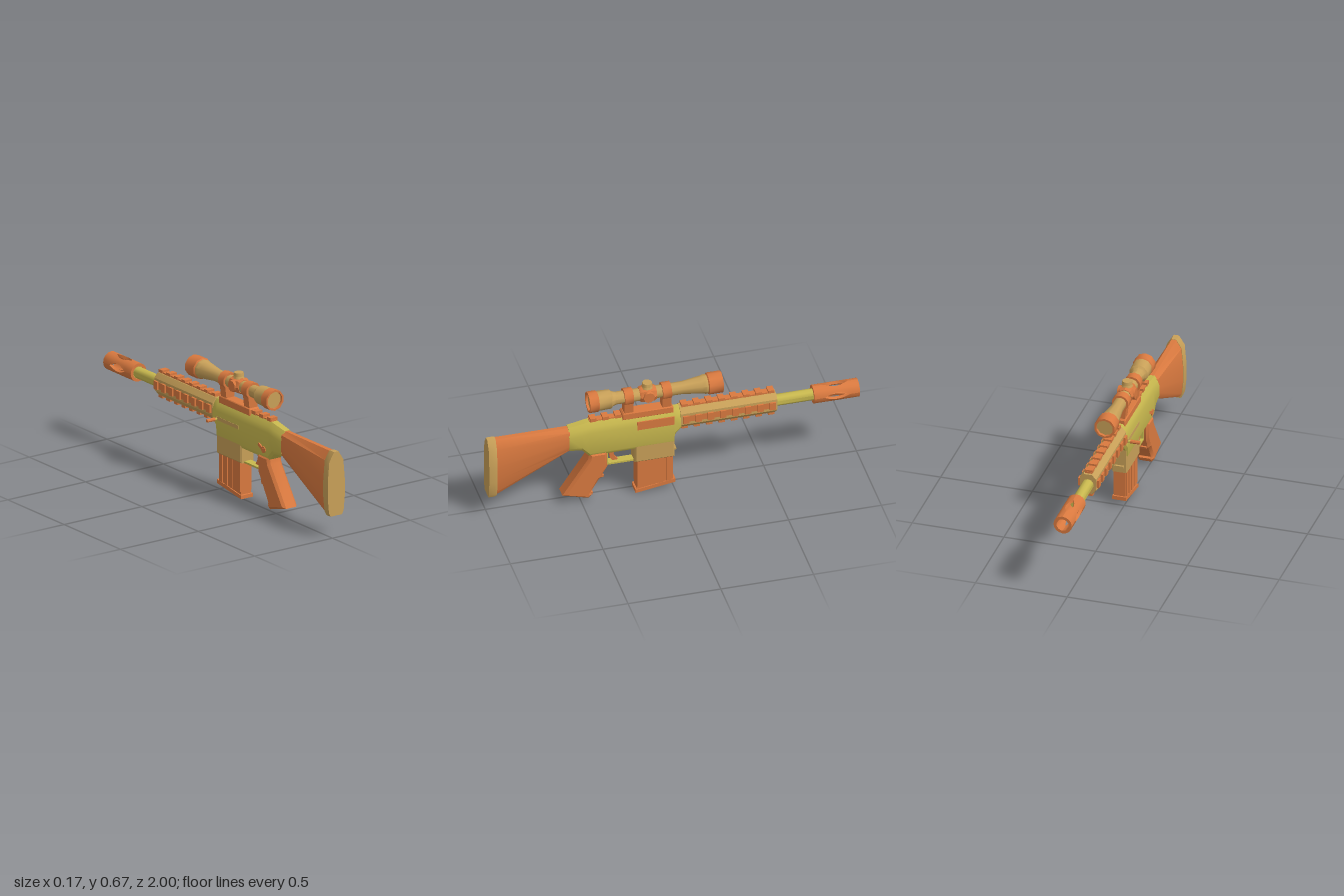
import * as THREE from 'three';
import { toCreasedNormals } from 'three/addons/utils/BufferGeometryUtils.js';

const mat = c => new THREE.MeshStandardMaterial({ color: c, side: THREE.DoubleSide });
const orange = mat(0xd9793f), tan = mat(0xc8a058), yellow = mat(0xc8b84e);
const V2 = a => new THREE.Vector2(a[0], a[1]);

export function createModel() {
  const root = new THREE.Group();
  root.name = 'scopedRifle';
  root.position.x = 0.025;

  const add = (name, geo, material, x = 0, y = 0, z = 0, parent = root) => {
    const m = new THREE.Mesh(toCreasedNormals(geo, 0.65), material);
    m.name = name;
    m.position.set(x, y, z);
    parent.add(m);
    return m;
  };
  const box = (name, material, w, h, d, x, y, z, parent) =>
    add(name, new THREE.BoxGeometry(w, h, d), material, x, y, z, parent);

  // Side outline [z, y] given a thickness along x, with bevelled edges
  const slab = (pts, half, bevel = 0) => new THREE.ExtrudeGeometry(new THREE.Shape(pts.map(V2)), {
    depth: 2 * (half - bevel), bevelEnabled: bevel > 0, bevelThickness: bevel,
    bevelSize: bevel, bevelOffset: -bevel, bevelSegments: 1,
  }).translate(0, 0, -(half - bevel)).rotateY(-Math.PI / 2);

  // Turned part along z, profile [radius, z] from low to high z
  const turned = (pts, sides = 10) => new THREE.LatheGeometry(pts.map(V2), sides).rotateX(Math.PI / 2);

  // Skin over counter-clockwise [x, y] sections, ordered by rising z
  const loft = sections => {
    const pos = [], n = sections[0].pts.length;
    const put = (s, i) => pos.push(s.pts[i % n][0], s.pts[i % n][1], s.z);
    for (let k = 0; k + 1 < sections.length; k++) {
      const a = sections[k], b = sections[k + 1];
      for (let i = 0; i < n; i++) {
        put(a, i); put(a, i + 1); put(b, i + 1);
        put(a, i); put(b, i + 1); put(b, i);
      }
    }
    const first = sections[0], last = sections[sections.length - 1];
    for (const [i, j, k] of THREE.ShapeUtils.triangulateShape(first.pts.map(V2), [])) { put(first, k); put(first, j); put(first, i); }
    for (const [i, j, k] of THREE.ShapeUtils.triangulateShape(last.pts.map(V2), [])) { put(last, i); put(last, j); put(last, k); }
    return new THREE.BufferGeometry().setAttribute('position', new THREE.Float32BufferAttribute(pos, 3));
  };
  // Symmetric section from its right half [x, y], bottom to top
  const mirrored = half => [...half, ...half.slice().reverse().map(([x, y]) => [-x, y])];

  // Stock and butt plate share one faceted oval section
  const oval = (z, lo, hi, s) => ({
    z, pts: mirrored([[0.037, 0], [0.047, 0.06], [0.055, 0.29], [0.055, 0.54], [0.045, 0.86], [0.014, 1]]
      .map(([x, t]) => [x * s, lo + t * (hi - lo)])),
  });
  add('stock', loft([oval(0.56, 0.335, 0.468, 0.76), oval(0.96, 0.13, 0.468, 0.9)]), orange);
  add('buttPlate', loft([oval(0.955, 0.125, 0.47, 0.94), oval(0.968, 0.122, 0.472, 1), oval(1, 0.122, 0.472, 1)]), tan);

  // Receiver with sloping shoulders
  const body = (z, lo, hi, w) => ({
    z, pts: mirrored([[w * 0.75, lo], [w, lo + 0.02], [w, hi - 0.055], [w * 0.8, hi - 0.025], [w * 0.4, hi]]),
  });
  add('receiver', loft([
    body(-0.04, 0.375, 0.488, 0.044), body(-0.035, 0.37, 0.49, 0.046), body(-0.003, 0.335, 0.49, 0.046),
    body(0, 0.285, 0.49, 0.046), body(0.455, 0.285, 0.49, 0.046), body(0.495, 0.328, 0.482, 0.046),
    body(0.565, 0.335, 0.47, 0.042)]), yellow);
  box('ejectionPort', orange, 0.006, 0.05, 0.2, 0.045, 0.435, 0.1);
  box('boltSlot', tan, 0.004, 0.02, 0.2, -0.0455, 0.395, 0.095);
  add('boltRod', new THREE.CylinderGeometry(0.007, 0.007, 0.03, 8).rotateZ(Math.PI / 2), yellow, -0.052, 0.391, 0.003);
  add('boltHandle', new THREE.CylinderGeometry(0.009, 0.011, 0.05, 8).rotateZ(Math.PI / 2), orange, -0.085, 0.391, 0.003);
  add('selector', new THREE.CylinderGeometry(0.018, 0.018, 0.008, 10).rotateZ(Math.PI / 2), orange, -0.047, 0.335, 0.42);
  box('selectorLever', orange, 0.01, 0.016, 0.05, -0.048, 0.345, 0.4).rotation.x = 0.5;

  // Magazine well and ribbed magazine
  add('magazineWell', slab([[0.213, 0.2], [-0.004, 0.2], [-0.004, 0.345], [0.213, 0.345]], 0.044, 0.008), tan);
  box('wellLip', tan, 0.05, 0.01, 0.02, 0, 0.238, -0.006);
  add('magazine', slab([[0.198, 0.01], [0.004, 0.035], [0.004, 0.22], [0.198, 0.22]], 0.032), orange);
  for (const s of [-1, 1]) for (const z of [0.025, 0.07, 0.115, 0.172])
    box('magazineRib', orange, 0.006, 0.165, z > 0.15 ? 0.05 : 0.026, s * 0.034, 0.122, z);
  add('magazineBase', slab([[0.207, 0.002], [-0.008, 0.035], [-0.008, 0.056], [0.207, 0.022]], 0.038), orange);

  // Grip, trigger and guard
  add('grip', slab([[0.455, 0.3], [0.36, 0.3], [0.358, 0.2], [0.38, 0.165], [0.386, 0.135], [0.402, 0.128],
    [0.448, 0.05], [0.442, 0.035], [0.458, 0.015], [0.6, 0.055], [0.462, 0.262]], 0.046, 0.014), orange);
  for (const [z, y] of [[0.39, 0.142], [0.449, 0.042]])
    box('fingerRidge', orange, 0.06, 0.014, 0.026, 0, y, z).rotation.x = -0.3;
  add('trigger', slab([[0.345, 0.29], [0.31, 0.29], [0.318, 0.26], [0.31, 0.235], [0.295, 0.218], [0.325, 0.215], [0.338, 0.235]], 0.01), orange);
  add('triggerGuard', slab([[0.362, 0.2], [0.205, 0.2], [0.205, 0.21], [0.35, 0.21], [0.352, 0.29], [0.362, 0.29]], 0.022), yellow);

  // Handguard with a toothed rail on each of its four sides
  const guard = (z, s) => ({ z, pts: mirrored([[0.024, -0.06], [0.046, -0.034], [0.046, 0.034], [0.024, 0.06]].map(([x, y]) => [x * s, y * s + 0.432])) });
  add('handguard', loft([guard(-0.555, 0.94), guard(-0.545, 1), guard(-0.035, 1)]), tan);
  [0.078, 0.057, 0.075, 0.057].forEach((reach, k) => {
    const rail = new THREE.Group();
    rail.name = 'rail';
    rail.position.y = 0.432;
    rail.rotation.z = k * Math.PI / 2;
    root.add(rail);
    box('railBase', orange, 0.036, 0.03, 0.5, 0, reach - 0.025, -0.297, rail);
    for (let i = 0; i < 8; i++)
      box('railTooth', orange, 0.044, 0.016, 0.033, 0, reach - 0.008, -0.062 - i * 0.0667, rail);
  });
  // Rear top rail
  box('rearRail', orange, 0.036, 0.02, 0.2, 0, 0.486, 0.35);
  for (let i = 0; i < 3; i++) box('rearRailTooth', orange, 0.044, 0.02, 0.033, 0, 0.499, 0.43 - i * 0.067);

  // Barrel and slotted muzzle brake
  add('barrel', turned([[0, -0.762], [0.046, -0.762], [0.046, -0.757], [0.031, -0.757], [0.031, -0.54]]), yellow, 0, 0.43);
  for (let q = 0; q < 4; q++) {
    const section = (z, gap) => {
      const pts = [], arc = (r, i) => {
        const a = q * Math.PI / 2 + gap + (Math.PI / 2 - 2 * gap) * i / 4;
        pts.push([r * Math.cos(a), r * Math.sin(a)]);
      };
      for (let i = 0; i <= 4; i++) arc(0.05, i);
      for (let i = 4; i >= 0; i--) arc(0.034, i);
      return { z, pts };
    };
    const sections = [section(-1, 0)];
    for (let i = 0; i <= 8; i++) sections.push(section(-0.945 + 0.135 * i / 8, 0.43 * Math.sin(Math.PI * i / 8)));
    sections.push(section(-0.755, 0));
    add('muzzleBrake', loft(sections), orange, 0, 0.43);
  }

  // Telescopic sight
  const scope = new THREE.Group();
  scope.name = 'scope';
  scope.position.y = 0.605;
  root.add(scope);
  add('scopeTube', turned([[0.052, -0.19], [0.052, -0.175], [0.047, -0.15], [0.034, -0.055], [0.034, 0.305],
    [0.04, 0.325], [0.051, 0.335], [0.053, 0.41]]), tan, 0, 0, 0, scope);
  add('objectiveRing', turned([[0.047, -0.245], [0.047, -0.265], [0.058, -0.265], [0.058, -0.19], [0.05, -0.183]]), orange, 0, 0, 0, scope);
  add('eyepieceRing', turned([[0.05, 0.4], [0.057, 0.407], [0.057, 0.455], [0.047, 0.455], [0.047, 0.435]]), orange, 0, 0, 0, scope);
  for (const z of [-0.246, 0.44])
    add('lens', new THREE.CylinderGeometry(0.048, 0.048, 0.004, 10).rotateX(Math.PI / 2), tan, 0, 0, z, scope);

  // Adjustment turrets
  add('turretBody', turned([[0, 0.09], [0.038, 0.09], [0.044, 0.1], [0.044, 0.17], [0.038, 0.18], [0, 0.18]], 8), orange, 0, 0, 0, scope);
  for (const s of [-1, 1])
    add('sideTurret', new THREE.CylinderGeometry(0.03, 0.034, 0.02, 10).rotateZ(-s * Math.PI / 2), orange, s * 0.038, 0, 0.135, scope);
  add('turretBase', new THREE.CylinderGeometry(0.022, 0.03, 0.02, 10), tan, 0, 0.048, 0.135, scope);
  add('topTurret', new THREE.CylinderGeometry(0.026, 0.029, 0.018, 10), tan, 0, 0.06, 0.135, scope);

  // Clamps and mounting base
  for (const z of [0.035, 0.24]) {
    add('scopeClamp', turned([[0.03, -0.024], [0.046, -0.024], [0.046, 0.024], [0.03, 0.024]]), orange, 0, 0, z, scope);
    add('clampLeg', loft([-0.024, 0.024].map(d => ({ z: z + d, pts: mirrored([[0.024, -0.1], [0.032, -0.03]]) }))), orange, 0, 0, 0, scope);
  }
  add('scopeMount', slab([[0.275, 0.475], [0, 0.475], [0, 0.508], [0.008, 0.515], [0.267, 0.515], [0.275, 0.508]], 0.032, 0.004), orange);
  return root;
}
